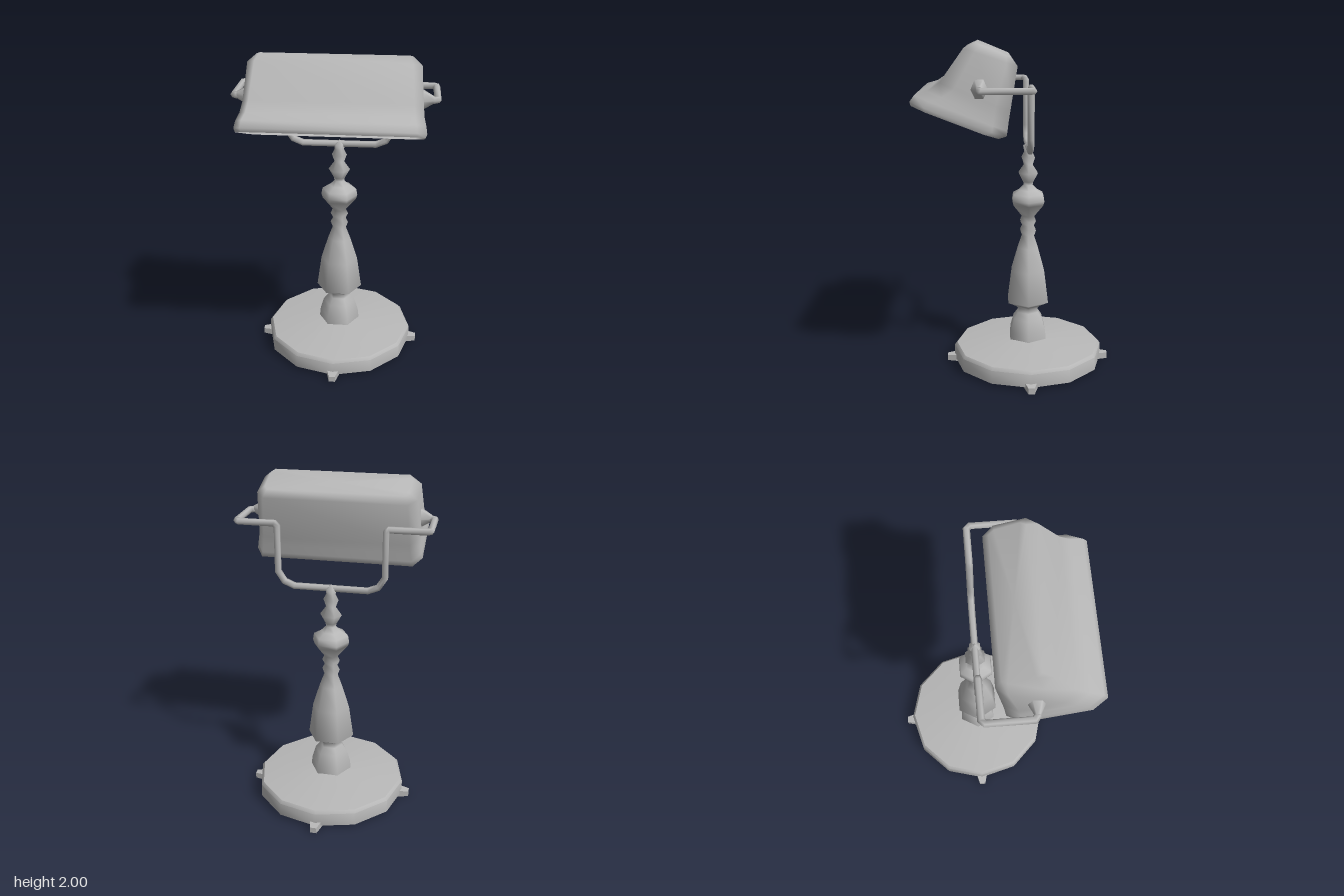
import * as THREE from 'three';
import { toCreasedNormals } from 'three/addons/utils/BufferGeometryUtils.js';

const AXIS_Z = -0.075; // column, base and wire stand behind the shade

const metal = new THREE.MeshStandardMaterial({ color: 0xb8b8b8, side: THREE.DoubleSide });
metal.name = 'grey metal';

function part(name, geometry, parent) {
  const mesh = new THREE.Mesh(geometry, metal);
  mesh.name = name;
  parent.add(mesh);
  return mesh;
}

const lathe = (profile, sides) =>
  new THREE.LatheGeometry(profile.map(([r, y]) => new THREE.Vector2(r, y)), sides);

// Skins a list of closed rings of equal length; can close the last one with a fan
function skin(rings, cap) {
  const n = rings[0].length;
  const points = rings.flat();
  const index = [];
  for (let i = 0; i < rings.length - 1; i++) {
    for (let j = 0; j < n; j++) {
      const a = i * n + j, b = i * n + (j + 1) % n;
      index.push(a, b, a + n, b, b + n, a + n);
    }
  }
  if (cap) {
    const last = rings[rings.length - 1];
    const centre = last.reduce((s, p) => s.add(p), new THREE.Vector3()).divideScalar(n);
    const first = points.length - n;
    points.push(centre);
    for (let j = 0; j < n; j++) index.push(first + n, first + j, first + (j + 1) % n);
  }
  const g = new THREE.BufferGeometry().setFromPoints(points);
  g.setIndex(index);
  g.computeVertexNormals();
  return g;
}

// Rod with mitred corners along a polyline
function rod(path, radius, sides) {
  const dirs = path.slice(1).map((p, i) => p.clone().sub(path[i]).normalize());
  const up = new THREE.Vector3(0, 1, 0);
  const side = new THREE.Vector3().crossVectors(dirs[0], up).normalize();
  const normal = new THREE.Vector3().crossVectors(side, dirs[0]);
  const binormal = new THREE.Vector3().crossVectors(dirs[0], normal);
  let ring = [];
  for (let j = 0; j < sides; j++) {
    const a = (j + 0.5) / sides * Math.PI * 2;
    ring.push(path[0].clone()
      .addScaledVector(normal, radius * Math.cos(a))
      .addScaledVector(binormal, radius * Math.sin(a)));
  }
  const rings = [ring];
  dirs.forEach((d, i) => {
    const p = path[i + 1];
    const m = d.clone().add(dirs[i + 1] || d).normalize();
    ring = ring.map(v => v.clone().addScaledVector(d, p.clone().sub(v).dot(m) / d.dot(m)));
    rings.push(ring);
  });
  return skin(rings, true);
}

// One level of the shade: a tilted rectangle with cut corners
function shadeRing([zf, yf, zb, yb, w, cx, cz]) {
  const t = cz / (zf - zb);
  const at = (x, k) => new THREE.Vector3(x, yf + (yb - yf) * k, zf + (zb - zf) * k);
  return [
    at(-w + cx, 0), at(w - cx, 0), at(w, t), at(w, 1 - t),
    at(w - cx, 1), at(-w + cx, 1), at(-w, 1 - t), at(-w, t),
  ];
}

export function createModel() {
  const lamp = new THREE.Group();
  lamp.name = 'deskLamp';

  const stand = new THREE.Group();
  stand.name = 'stand';
  stand.position.z = AXIS_Z;
  lamp.add(stand);

  // Twelve-sided base plate
  const base = lathe([[0, 0.018], [0.465, 0.018], [0.465, 0.1], [0.45, 0.118],
    [0.12, 0.157], [0, 0.157]], 12);
  part('base', toCreasedNormals(base, 0.7), stand);

  // Four tapered feet peeking out from under the base
  for (let k = 0; k < 4; k++) {
    const g = new THREE.BoxGeometry(0.09, 0.045, 0.1);
    g.translate(0, 0.0225, 0.46);
    const p = g.attributes.position;
    for (let i = 0; i < p.count; i++) {
      if (p.getZ(i) > 0.46) {
        p.setX(i, p.getX(i) * 0.42);
        p.setY(i, p.getY(i) * 0.8);
      }
    }
    g.computeVertexNormals();
    part('foot', g, stand).rotation.y = k * Math.PI / 2;
  }

  // Six-sided turned column
  const column = lathe([
    [0.13, 0.15], [0.124, 0.21], [0.102, 0.285], [0.072, 0.325], [0.066, 0.35],
    [0.085, 0.37], [0.143, 0.4], [0.115, 0.6], [0.07, 0.745], [0.042, 0.82],
    [0.055, 0.855], [0.04, 0.885], [0.055, 0.915], [0.042, 0.945], [0.105, 1.02],
    [0.112, 1.045], [0.105, 1.085], [0.06, 1.11], [0.03, 1.14], [0.035, 1.16],
    [0.066, 1.215], [0.03, 1.265], [0.046, 1.31], [0.028, 1.345], [0.036, 1.38], [0, 1.405],
  ], 6);
  column.rotateY(Math.PI / 2);
  part('column', column, stand);

  // Bent wire arm holding the shade at both ends
  const half = [
    [0.22, 1.38, AXIS_Z], [0.28, 1.405, AXIS_Z], [0.318, 1.465, AXIS_Z],
    [0.318, 1.735, AXIS_Z], [0.335, 1.752, AXIS_Z], [0.545, 1.752, AXIS_Z],
    [0.565, 1.752, AXIS_Z + 0.02], [0.565, 1.752, 0.195], [0.545, 1.752, 0.21],
    [0.49, 1.752, 0.215],
  ];
  const mirrored = half.map(([x, y, z]) => [-x, y, z]).reverse();
  const path = [...mirrored, ...half].map(p => new THREE.Vector3(...p));
  part('wireArm', rod(path, 0.02, 6), lamp);

  // Pivot knobs on the shade ends
  for (const s of [-1, 1]) {
    const g = new THREE.CylinderGeometry(0.022, 0.068, 0.07, 6);
    g.scale(0.95, 1, 0.75);
    const knob = part('pivotKnob', g, lamp);
    knob.position.set(s * 0.51, 1.755, 0.212);
    knob.rotation.z = -s * Math.PI / 2;
  }

  // Open shade, from rim to top: front z, y, back z, y, half width, corner cut x, z
  const levels = [
    [0.58, 1.667, 0.11, 1.486, 0.502, 0.05, 0.08],
    [0.586, 1.69, 0.065, 1.5, 0.508, 0.05, 0.08],
    [0.56, 1.725, 0.06, 1.53, 0.502, 0.05, 0.08],
    [0.49, 1.745, 0.053, 1.58, 0.493, 0.05, 0.08],
    [0.425, 1.79, 0.045, 1.63, 0.488, 0.05, 0.08],
    [0.295, 1.97, 0.004, 1.875, 0.473, 0.05, 0.06],
    [0.23, 2.0, 0.035, 1.92, 0.425, 0.02, 0.03],
  ];
  part('shade', skin(levels.map(shadeRing), true), lamp);

  return lamp;
}
